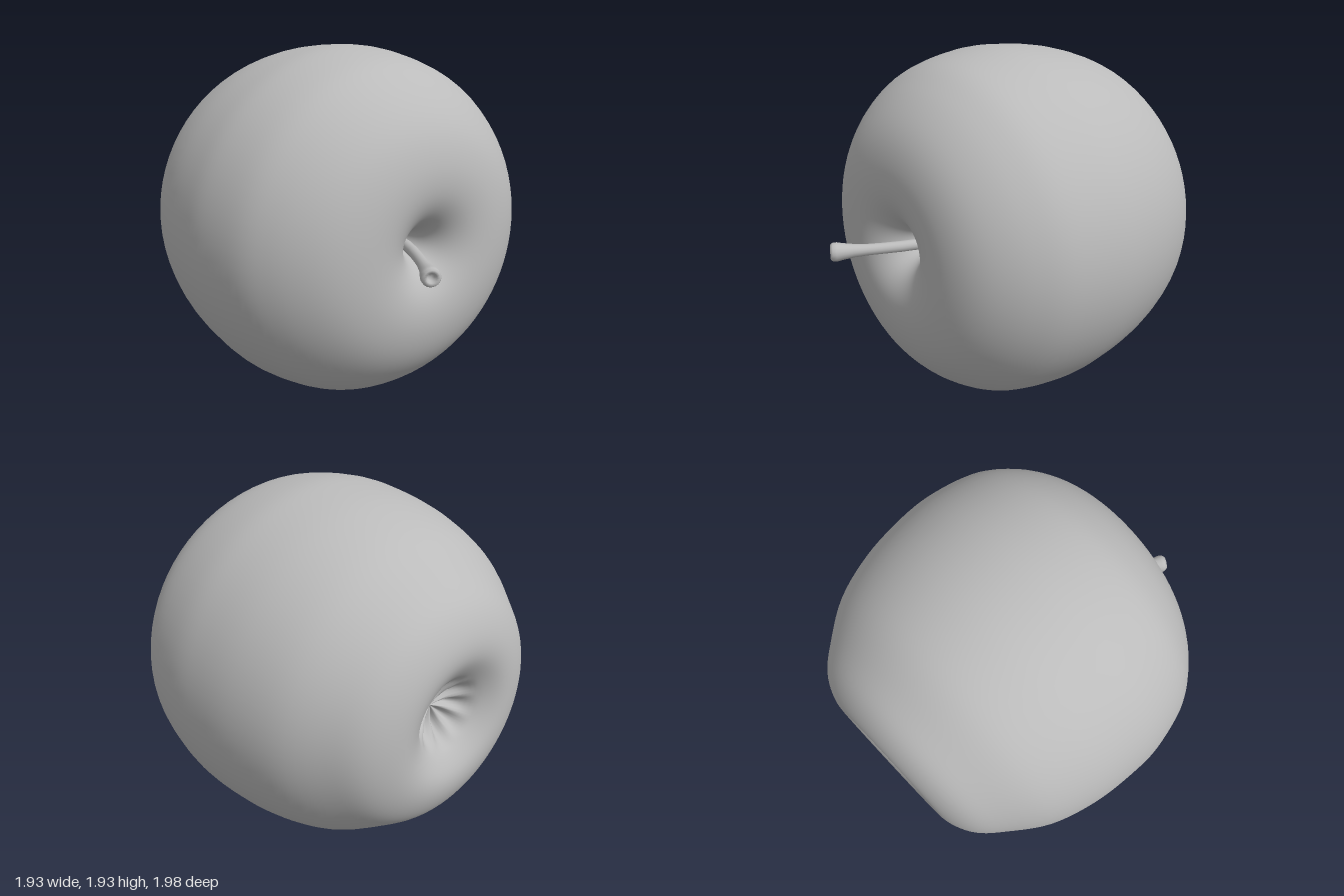
import * as THREE from 'three';
import { mergeVertices } from 'three/addons/utils/BufferGeometryUtils.js';

const CENTRE_Y = 0.966;

// Turned solid with its seam welded, each vertex moved by a rule
function turned(points, segments, rule) {
  let geo = new THREE.LatheGeometry(points, segments);
  geo.deleteAttribute('uv');
  geo.deleteAttribute('normal');
  const pos = geo.attributes.position;
  const v = new THREE.Vector3();
  for (let i = 0; i < pos.count; i++) {
    v.fromBufferAttribute(pos, i);
    rule(v);
    pos.setXYZ(i, v.x, v.y, v.z);
  }
  geo = mergeVertices(geo, 1e-5);
  geo.computeVertexNormals();
  return geo;
}

const profile = (pairs) => pairs.map(([r, h]) => new THREE.Vector2(r, h));

// Fruit body: axis along z, calyx hollow at the back, stem hollow at the front
function bodyGeometry() {
  const outline = new THREE.SplineCurve(profile([
    [0, -0.8], [0.08, -0.81], [0.15, -0.86], [0.23, -0.94], [0.34, -0.993],
    [0.46, -0.985], [0.59, -0.92], [0.7, -0.8], [0.84, -0.6], [0.925, -0.35],
    [0.96, -0.1], [0.96, 0.1], [0.91, 0.34], [0.82, 0.5], [0.7, 0.625],
    [0.57, 0.705], [0.42, 0.745], [0.28, 0.74], [0.17, 0.69], [0.09, 0.6],
    [0.04, 0.48], [0, 0.4],
  ])).getPoints(105);
  outline.forEach((p) => { p.x = Math.max(p.x, 0); });
  outline[0].x = outline[outline.length - 1].x = 0;

  return turned(outline, 72, (v) => {
    const r = Math.hypot(v.x, v.z);
    const along = v.y;
    // Swirled ridges fanning out from the calyx
    let ridge = 0;
    if (along < -0.7 && r < 0.21) {
      const angle = Math.atan2(v.z, v.x);
      const fade = Math.sin(Math.PI * r / 0.21);
      ridge = -0.022 * fade * Math.cos(9 * angle + 8 * r);
    }
    // The front leans slightly to one side
    const lean = along > 0 ? 0.04 * v.x * along / 0.75 : 0;
    v.set(v.x, CENTRE_Y - v.z, along + ridge + lean);
  });
}

// Stem: a flared, dished rod bent along a curve
function stemGeometry() {
  const path = new THREE.CatmullRomCurve3([
    new THREE.Vector3(0.03, 0.95, 0.36), new THREE.Vector3(-0.02, 0.95, 0.56),
    new THREE.Vector3(-0.11, 0.95, 0.75), new THREE.Vector3(-0.24, 0.95, 0.965),
  ]);
  const rod = profile([
    [0, 0], [0.03, 0], [0.029, 0.15], [0.029, 0.3], [0.029, 0.45], [0.029, 0.6],
    [0.03, 0.72], [0.035, 0.82], [0.043, 0.9], [0.05, 0.95], [0.049, 0.98],
    [0.04, 1], [0.026, 0.995], [0.017, 0.97], [0, 0.965],
  ]);
  const down = new THREE.Vector3(0, -1, 0);
  return turned(rod, 16, (v) => {
    const tangent = path.getTangentAt(v.y);
    const side = new THREE.Vector3().crossVectors(tangent, down).normalize();
    const p = path.getPointAt(v.y).addScaledVector(side, v.x).addScaledVector(down, v.z);
    v.copy(p);
  });
}

export function createModel() {
  const group = new THREE.Group();
  group.name = 'apple';
  const grey = new THREE.MeshStandardMaterial({ color: 0xbbbbbb });
  grey.name = 'plain grey';

  const body = new THREE.Mesh(bodyGeometry(), grey);
  body.name = 'body';
  const stem = new THREE.Mesh(stemGeometry(), grey);
  stem.name = 'stem';
  group.add(body, stem);
  return group;
}
